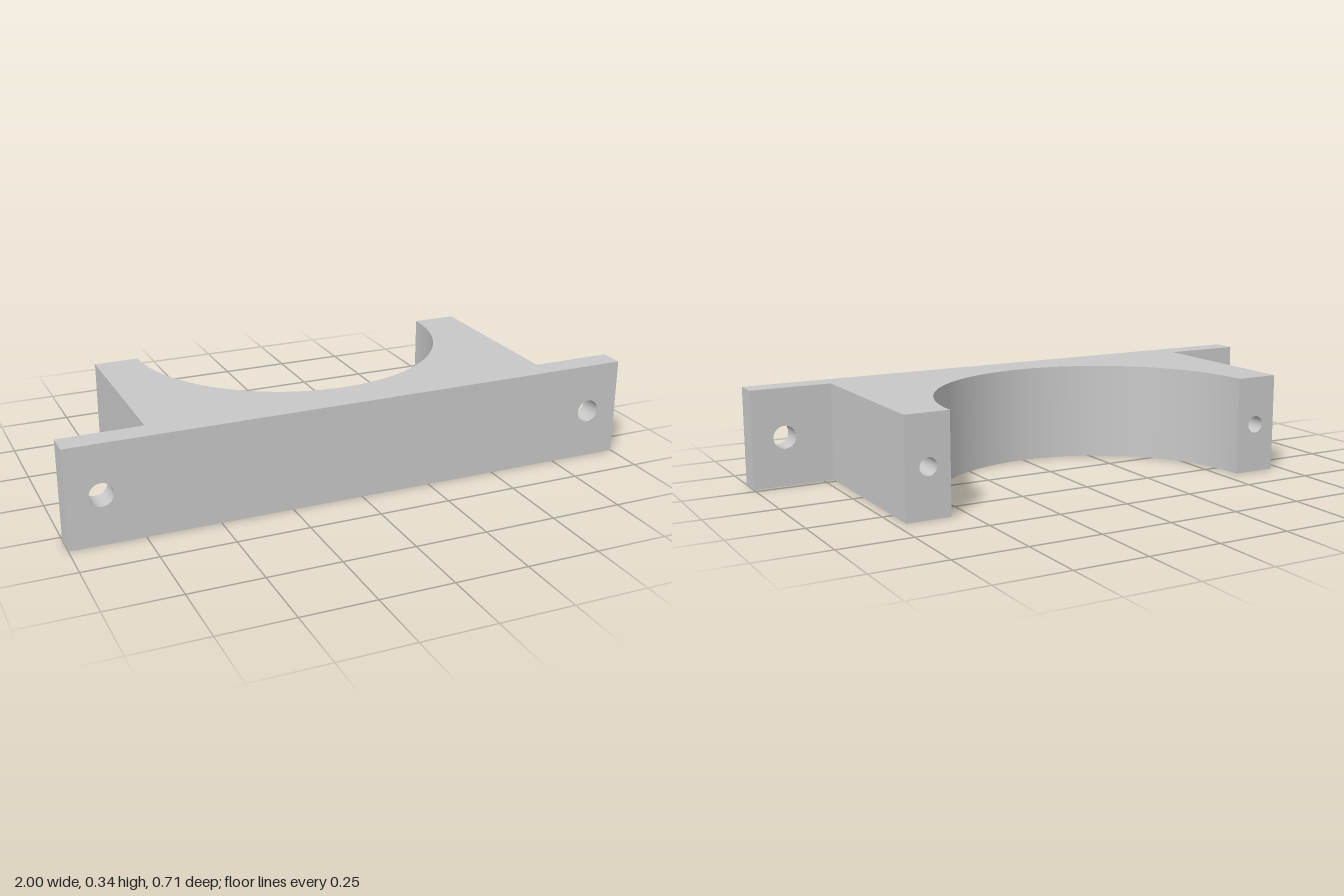
import * as THREE from 'three';
import { toCreasedNormals } from 'three/addons/utils/BufferGeometryUtils.js';

const H = 0.342, FRONT = 0.355, BACK = -0.355, EAR = 0.27; // height and z levels
const ARM_IN = 0.56, ARM_OUT = 0.715;
const EAR_X = 0.885, EAR_R = 0.04, ARM_X = 0.636, ARM_R = 0.03, ARM_DEPTH = 0.3;

// Rectangular face with round holes, in the xy plane
function holedFace(x0, x1, holes, r) {
  const s = new THREE.Shape();
  s.moveTo(x0, 0).lineTo(x1, 0).lineTo(x1, H).lineTo(x0, H).closePath();
  for (const x of holes) s.holes.push(new THREE.Path().absarc(x, H / 2, r, 0, Math.PI * 2, true));
  return new THREE.ShapeGeometry(s, 32);
}

// Drop the flat faces lying at the given z levels, which holed faces replace
function withoutFacesAt(geometry, levels) {
  const p = geometry.getAttribute('position'), kept = [];
  for (let i = 0; i < p.count; i += 3) {
    const onLevel = levels.some(z => [0, 1, 2].every(k => Math.abs(p.getZ(i + k) - z) < 1e-4));
    if (!onLevel) for (let k = 0; k < 3; k++) kept.push(p.getX(i + k), p.getY(i + k), p.getZ(i + k));
  }
  const g = new THREE.BufferGeometry();
  g.setAttribute('position', new THREE.Float32BufferAttribute(kept, 3));
  return g;
}

export function createModel() {
  const group = new THREE.Group();
  const grey = new THREE.MeshStandardMaterial({ color: 0xc8c8c8, side: THREE.DoubleSide });
  grey.name = 'lightGrey';
  const add = (name, geometry, x, y, z, turned = false) => {
    const m = new THREE.Mesh(geometry, grey);
    m.name = name;
    m.position.set(x, y, z);
    if (turned) m.rotation.y = Math.PI;
    group.add(m);
  };

  // Saddle body: plan profile (shape y is -z) extruded upwards
  const plan = new THREE.Shape();
  plan.moveTo(-1, -FRONT).lineTo(1, -FRONT).lineTo(1, -EAR).lineTo(ARM_OUT, -EAR)
    .lineTo(ARM_OUT, -BACK).lineTo(ARM_IN, -BACK);
  plan.absarc(0, -BACK, ARM_IN, 0, -Math.PI, true);
  plan.lineTo(-ARM_OUT, -BACK).lineTo(-ARM_OUT, -EAR).lineTo(-1, -EAR).closePath();
  const solid = new THREE.ExtrudeGeometry(plan, { depth: H, bevelEnabled: false, curveSegments: 64 });
  solid.rotateX(-Math.PI / 2);
  add('saddleBody', toCreasedNormals(withoutFacesAt(solid, [FRONT, EAR, BACK]), 0.5), 0, 0, 0);

  // Flat mounting face at the front
  add('mountingFace', holedFace(-1, 1, [-EAR_X, EAR_X], EAR_R), 0, 0, FRONT);

  for (const [side, label] of [[1, 'left'], [-1, 'right']]) {
    // Rear faces of the ears and arms, turned to look backwards
    const span = (a, b) => side > 0 ? [-b, -a] : [a, b];
    add(label + 'EarRearFace', holedFace(...span(ARM_OUT, 1), [-side * EAR_X], EAR_R), 0, 0, EAR, true);
    add(label + 'ArmEndFace', holedFace(...span(ARM_IN, ARM_OUT), [-side * ARM_X], ARM_R), 0, 0, BACK, true);

    // Through bore of the ear
    const bore = new THREE.CylinderGeometry(EAR_R, EAR_R, FRONT - EAR, 32, 1, true);
    bore.rotateX(Math.PI / 2);
    add(label + 'EarBore', bore, side * EAR_X, H / 2, (FRONT + EAR) / 2);

    // Blind screw hole in the arm, with its floor
    const hole = new THREE.CylinderGeometry(ARM_R, ARM_R, ARM_DEPTH, 32, 1, true);
    hole.rotateX(Math.PI / 2);
    add(label + 'ArmHole', hole, side * ARM_X, H / 2, BACK + ARM_DEPTH / 2);
    add(label + 'ArmHoleFloor', new THREE.CircleGeometry(ARM_R, 32), side * ARM_X, H / 2, BACK + ARM_DEPTH, true);
  }
  return group;
}
